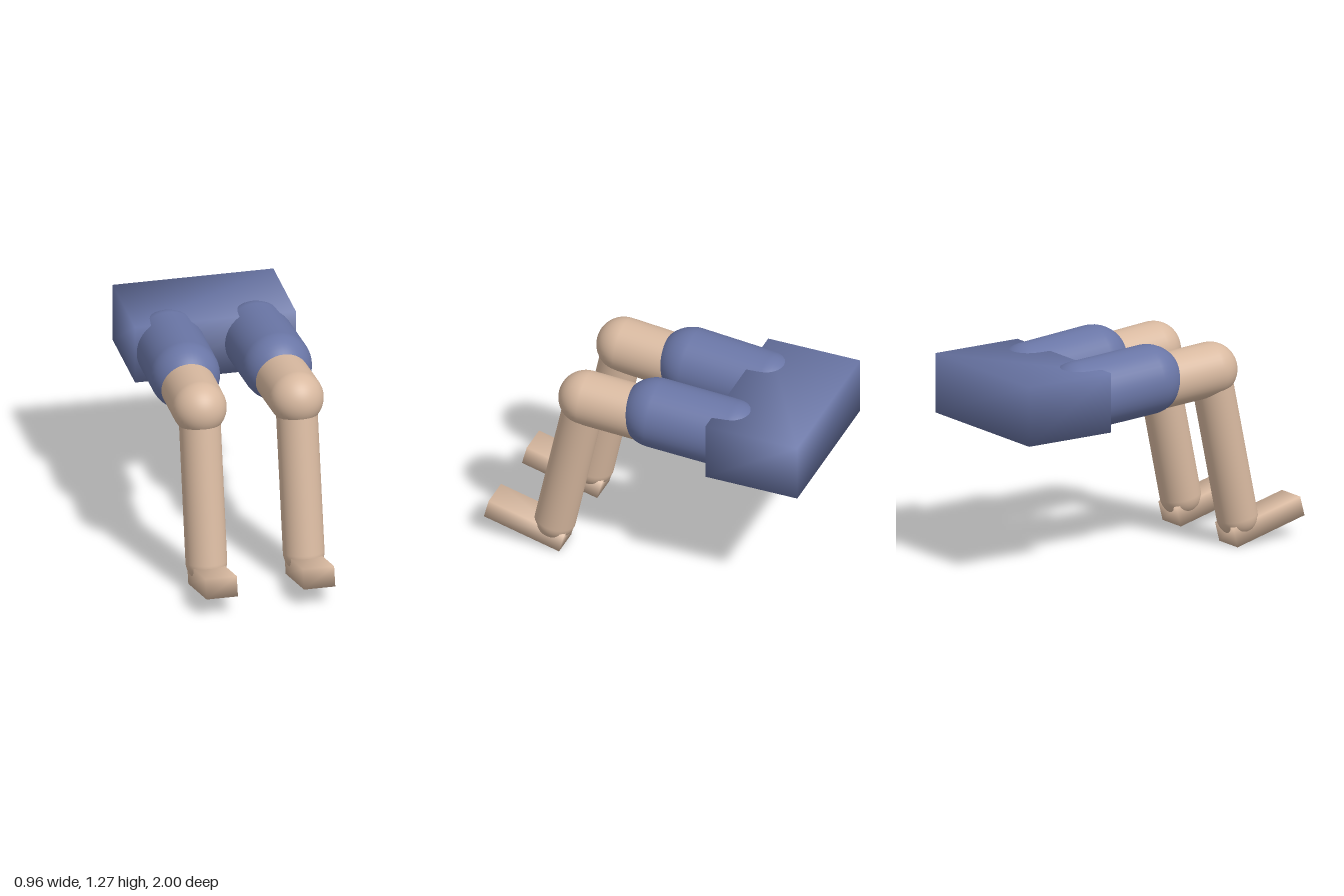
import * as THREE from 'three';
import { mergeVertices } from 'three/addons/utils/BufferGeometryUtils.js';

const skin = new THREE.MeshStandardMaterial({ color: 0xd8b9a0 });
const cloth = new THREE.MeshStandardMaterial({ color: 0x6a76a6 });

// Capsule whose end spheres are centred on points a and b
function limb(name, a, b, radius, material) {
  const from = new THREE.Vector3(...a);
  const to = new THREE.Vector3(...b);
  const axis = to.clone().sub(from);
  const mesh = new THREE.Mesh(new THREE.CapsuleGeometry(radius, axis.length(), 12, 40), material);
  mesh.name = name;
  mesh.position.copy(from).add(to).multiplyScalar(0.5);
  mesh.quaternion.setFromUnitVectors(new THREE.Vector3(0, 1, 0), axis.normalize());
  return mesh;
}

// Box with corner normals averaged for soft shading
function softBox(name, size, position, material) {
  const box = new THREE.BoxGeometry(...size);
  box.deleteAttribute('normal');
  box.deleteAttribute('uv');
  const geometry = mergeVertices(box);
  geometry.computeVertexNormals();
  const mesh = new THREE.Mesh(geometry, material);
  mesh.name = name;
  mesh.position.set(...position);
  return mesh;
}

export function createModel() {
  const model = new THREE.Group();
  model.name = 'seatedLegs';

  // Hips of the trousers
  model.add(softBox('hips', [0.954, 0.355, 0.575], [0, 1.0275, -0.7125], cloth));

  for (const [side, s] of [['left', 1], ['right', -1]]) {
    const leg = new THREE.Group();
    leg.name = side + 'Leg';

    // Short trouser leg over the thigh
    leg.add(limb('trouserLeg', [s * 0.26, 1.033, -0.5], [s * 0.273, 1.066, -0.035], 0.205, cloth));

    // Thigh and shin meet at the knee
    const knee = [s * 0.288, 1.066, 0.4];
    leg.add(limb('thigh', [s * 0.26, 1.0, -0.5], knee, 0.16, skin));
    leg.add(limb('shin', knee, [s * 0.289, 0.163, 0.59], 0.121, skin));

    // Foot with the toes raised
    const foot = softBox('foot', [0.186, 0.12, 0.486], [s * 0.289, 0.12, 0.75], skin);
    foot.rotation.x = -0.255;
    leg.add(foot);

    model.add(leg);
  }
  return model;
}
